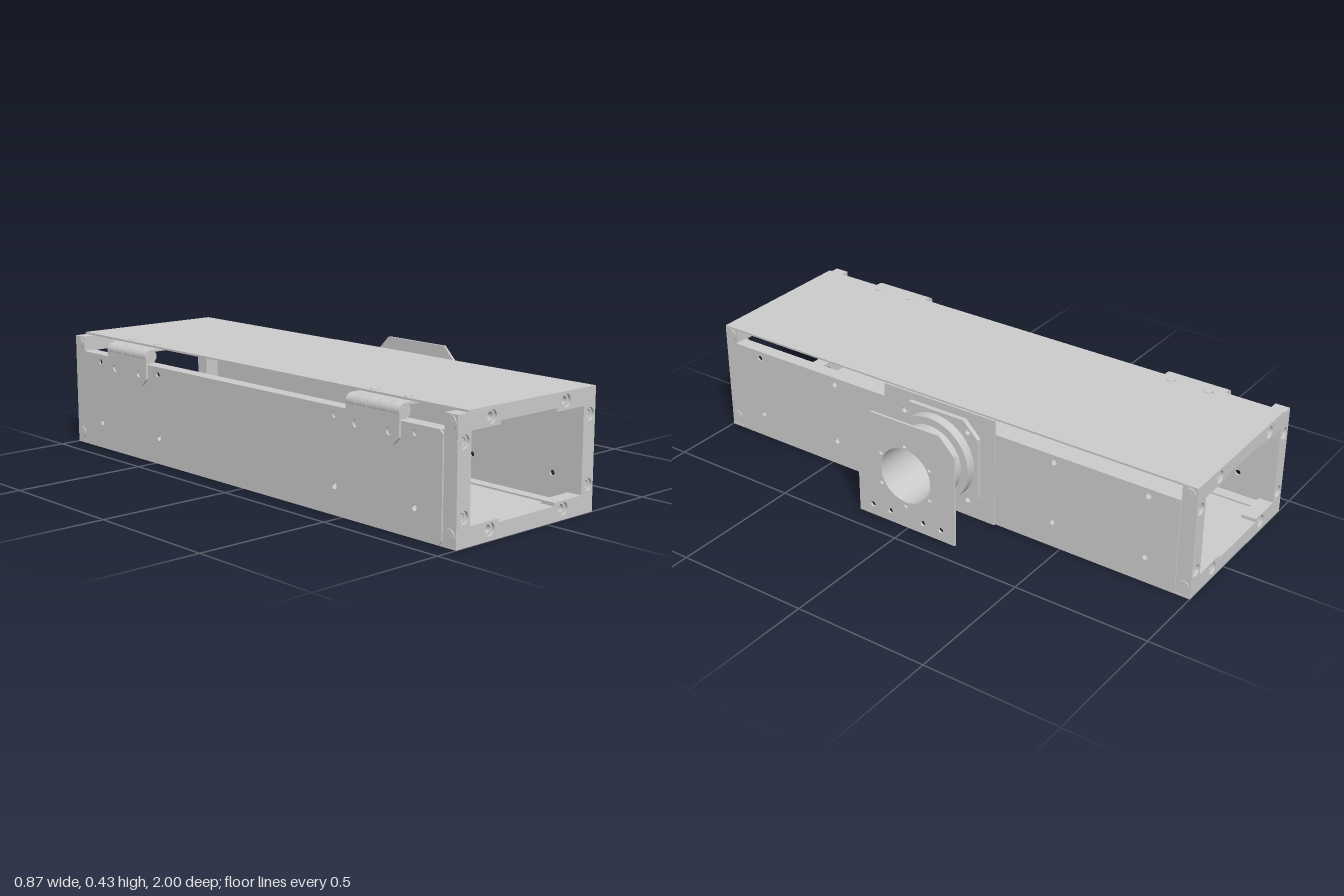
import * as THREE from 'three';

const grey = new THREE.MeshStandardMaterial({ color: 0xcccccc, side: THREE.DoubleSide });

// Flat plate from an outline, round holes [u, v, r] and optional inner cut-outs
function plateGeometry(points, depth, holes = [], cutouts = []) {
  const shape = new THREE.Shape(points.map(([u, v]) => new THREE.Vector2(u, v)));
  for (const [u, v, r] of holes) shape.holes.push(new THREE.Path().absarc(u, v, r, 0, Math.PI * 2, true));
  for (const c of cutouts) shape.holes.push(new THREE.Path(c.map(([u, v]) => new THREE.Vector2(u, v))));
  return new THREE.ExtrudeGeometry(shape, { depth, bevelEnabled: false, curveSegments: 20 });
}

const rect = (u0, v0, u1, v1) => [[u0, v0], [u1, v0], [u1, v1], [u0, v1]];

// Rectangle with cut corners: b at the bottom, t at the top
const cutRect = (w, y0, y1, b, t) => [
  [-w + b, y0], [w - b, y0], [w, y0 + b], [w, y1 - t], [w - t, y1], [-w + t, y1], [-w, y1 - t], [-w, y0 + b],
];

export function createModel() {
  const group = new THREE.Group();
  const add = (name, geometry, parent = group) => {
    const mesh = new THREE.Mesh(geometry, grey);
    mesh.name = name;
    parent.add(mesh);
    return mesh;
  };
  const box = (name, x0, x1, y0, y1, z0, z1, parent) =>
    add(name, new THREE.BoxGeometry(x1 - x0, y1 - y0, z1 - z0)
      .translate((x0 + x1) / 2, (y0 + y1) / 2, (z0 + z1) / 2), parent);
  // Plate facing sideways, its thickness running from x to x + depth
  const sidePlate = (name, x, depth, points, holes, parent) =>
    add(name, plateGeometry(points, depth, holes).rotateY(Math.PI / 2).translate(x, 0, 0), parent);
  // Plate lying flat, its thickness running from y upwards
  const flatPlate = (name, y, depth, points, holes) =>
    add(name, plateGeometry(points, depth, holes).rotateX(-Math.PI / 2).translate(0, y, 0));

  // End frames with counterbored screw holes
  const opening = [
    [-0.36, 0.065], [-0.23, 0.065], [-0.23, 0.053], [0.035, 0.053], [0.035, 0.065], [0.17, 0.065],
    [0.17, 0.36], [0.035, 0.36], [0.035, 0.372], [-0.23, 0.372], [-0.23, 0.36], [-0.36, 0.36],
  ];
  const barHoles = [[-0.27, 0.39], [0.08, 0.39], [-0.27, 0.037], [0.08, 0.037]];
  const postHoles = [[-0.39, 0.33], [-0.39, 0.096], [0.2, 0.33], [0.2, 0.096]];
  const frameOutline = rect(-0.42, 0.005, 0.228, 0.416);
  const bored = (r) => [...barHoles, ...postHoles].map(([x, y]) => [x, y, r]);
  for (const end of [1, -1]) {
    const frame = new THREE.Group();
    frame.name = end > 0 ? 'frontFrame' : 'backFrame';
    group.add(frame);
    const body = add('frameBody', plateGeometry(frameOutline, 0.045, bored(0.014), [opening]), frame);
    body.position.z = end > 0 ? 0.945 : -0.99;
    const face = add('frameFace', plateGeometry(frameOutline, 0.01, bored(0.022), [opening]), frame);
    face.position.z = end > 0 ? 0.99 : -1;
    for (const [x, y] of postHoles) {
      const screw = add('postScrew', new THREE.CylinderGeometry(0.013, 0.013, 0.04, 6).rotateX(Math.PI / 2), frame);
      screw.position.set(x, y, end * 0.968);
    }
    // Screw rings on the outer sides of the posts
    for (const x of [-0.424, 0.228]) for (const y of [0.04, 0.39]) {
      const ring = add('sideScrewRing', new THREE.ExtrudeGeometry(
        new THREE.Shape().absarc(0, 0, 0.023, 0, Math.PI * 2), { depth: 0.004, bevelEnabled: false })
        .rotateY(Math.PI / 2), frame);
      ring.position.set(x, y, end * 0.972);
      const head = add('sideScrewHead', new THREE.CylinderGeometry(0.012, 0.012, 0.006, 6).rotateZ(Math.PI / 2), frame);
      head.position.set(x + 0.002, y, end * 0.972);
    }
  }

  // Floor and slightly sloping lid
  flatPlate('floor', 0, 0.007, rect(-0.42, -1, 0.23, 1),
    [-0.97, 0.97].flatMap((z) => [[-0.27, z, 0.01], [0.08, z, 0.01]]));
  const hingeScrewZ = [-0.73, -0.58, 0.58, 0.73];
  const lid = flatPlate('lid', 0, 0.007, rect(0, -1, 0.602, 1), hingeScrewZ.map((z) => [0.025, z, 0.012]));
  lid.position.set(-0.375, 0.417, 0);
  lid.rotation.z = -0.006;

  // Side panels with folded edges
  const panelHoles = [];
  for (const z of [-0.83, -0.47, 0.47, 0.83]) for (const y of [0.1, 0.335]) panelHoles.push([z, y, 0.01]);
  sidePlate('leftPanel', -0.426, 0.007, cutRect(0.945, 0.005, 0.363, 0.012, 0.012), panelHoles);
  sidePlate('rightPanel', 0.228, 0.007, rect(-0.945, 0.005, 0.945, 0.363), [...panelHoles, [0, 0.215, 0.105]]);
  for (const [name, x0, x1] of [['left', -0.42, -0.375], ['right', 0.185, 0.23]]) {
    box(name + 'TopFold', x0, x1, 0.357, 0.363, -0.945, 0.945);
    box(name + 'BottomFold', x0, x1, 0.007, 0.013, -0.945, 0.945);
  }

  // Side port: mounting plate, flange, collar, tube and end plate
  const port = new THREE.Group();
  port.name = 'sidePort';
  group.add(port);
  const cy = 0.215;
  sidePlate('mountingPlate', 0.233, 0.007, rect(-0.235, 0.002, 0.235, 0.418), [[0, cy, 0.105]], port);
  const corners = [[-1, -1], [-1, 1], [1, -1], [1, 1]].map(([u, v]) => [u * 0.135, cy + v * 0.135, 0.011]);
  sidePlate('portFlange', 0.24, 0.017, cutRect(0.177, 0.037, 0.39, 0.06, 0.06), [[0, cy, 0.105], ...corners], port);
  const ringPart = (name, x, depth, outer, inner) => {
    const p = [[inner, 0], [outer, 0], [outer, 0], [outer, depth], [outer, depth], [inner, depth], [inner, depth], [inner, 0]];
    const profile = p.map(([r, h]) => new THREE.Vector2(r, h));
    add(name, new THREE.LatheGeometry(profile, 48).rotateZ(-Math.PI / 2).translate(x, cy, 0), port);
  };
  ringPart('portCollar', 0.257, 0.036, 0.162, 0.105);
  ringPart('portTube', 0.293, 0.13, 0.133, 0.105);
  const endHoles = [[0, cy, 0.105]];
  for (let i = 0; i < 6; i++) {
    const a = Math.PI / 2 + i * Math.PI / 3;
    endHoles.push([Math.cos(a) * 0.119, cy + Math.sin(a) * 0.119, 0.009]);
  }
  for (const z of [-0.147, -0.07, 0.07, 0.147]) endHoles.push([z, 0.05, 0.01]);
  sidePlate('endPlate', 0.423, 0.009, cutRect(0.205, 0.008, 0.42, 0, 0.06), endHoles, port);

  // Hinges between lid and left panel
  for (const z of [-0.65, 0.65]) {
    const hinge = new THREE.Group();
    hinge.name = z > 0 ? 'frontHinge' : 'backHinge';
    hinge.position.z = z;
    group.add(hinge);
    sidePlate('panelLeaf', -0.434, 0.008, cutRect(0.12, 0.285, 0.385, 0.025, 0),
      [[-0.075, 0.325, 0.013], [0.075, 0.325, 0.013]], hinge);
    box('lidLeaf', -0.41, -0.325, 0.408, 0.416, -0.12, 0.12, hinge);
    // Alternating knuckles around the pin
    for (let i = 0; i < 5; i++) {
      const knuckle = add('knuckle', new THREE.CylinderGeometry(0.025, 0.025, 0.045, 20).rotateX(Math.PI / 2), hinge);
      knuckle.position.set(-0.41, 0.391, (i - 2) * 0.0485);
    }
    const pin = add('hingePin', new THREE.CylinderGeometry(0.012, 0.012, 0.24, 12).rotateX(Math.PI / 2), hinge);
    pin.position.set(-0.41, 0.391, 0);
    for (const dz of [-0.075, 0.075]) {
      const screw = add('hingeScrew', new THREE.CylinderGeometry(0.014, 0.014, 0.012, 16), hinge);
      screw.position.set(-0.35, 0.42, dz);
    }
  }
  return group;
}
